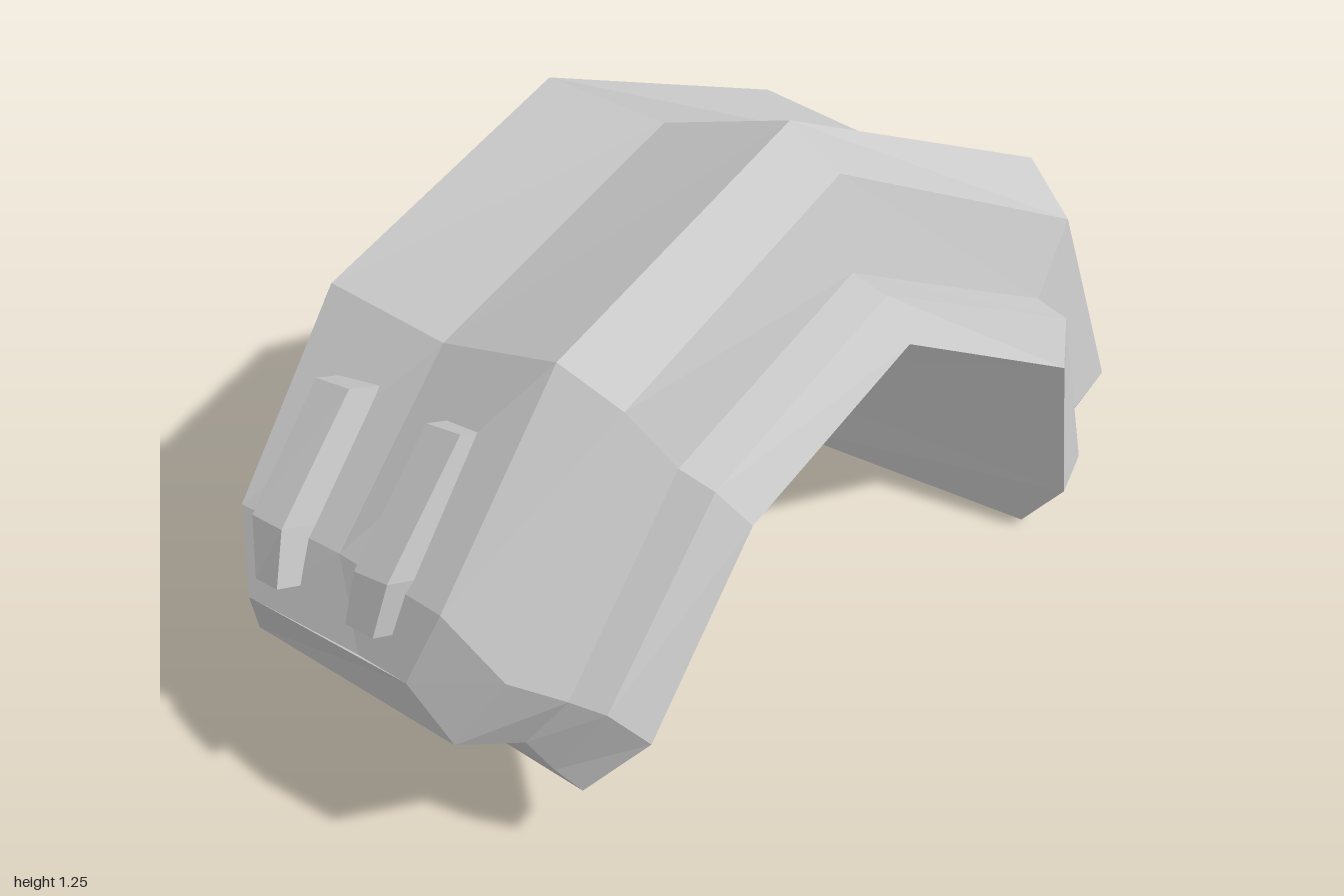
import * as THREE from 'three';

const material = new THREE.MeshStandardMaterial({ color: 0xcccccc, flatShading: true });

// Skin a list of rails (left to right); each rail holds one [x, y, z] per station.
function loft(name, rails, closed) {
  const pos = [];
  const n = rails.length;
  const last = rails[0].length - 1;
  const quad = (a, b, c, d) => pos.push(...a, ...b, ...c, ...a, ...c, ...d);

  for (let s = 0; s < last; s++) {
    for (let i = 0; i < (closed ? n : n - 1); i++) {
      const j = (i + 1) % n;
      quad(rails[i][s], rails[j][s], rails[j][s + 1], rails[i][s + 1]);
    }
  }
  // End caps, built as strips between opposite rails
  for (let i = 0; i < Math.floor((n - 1) / 2); i++) {
    const ids = [i, n - 1 - i, n - 2 - i, i + 1];
    const a = ids.map((k) => rails[k][0]);
    const b = ids.map((k) => rails[k][last]).reverse();
    if (ids[2] === ids[3]) {
      pos.push(...a[0], ...a[1], ...a[2], ...b[0], ...b[2], ...b[3]);
    } else {
      quad(...a);
      quad(...b);
    }
  }
  const geometry = new THREE.BufferGeometry();
  geometry.setAttribute('position', new THREE.Float32BufferAttribute(pos, 3));
  geometry.computeVertexNormals();
  const mesh = new THREE.Mesh(geometry, material);
  mesh.name = name;
  return mesh;
}

// Raised bar: outer left and right rails, sunk into the plate by an offset
function bar(name, left, right, offset) {
  const sink = (rail) => rail.map((p) => p.map((v, k) => v + offset[k]));
  return loft(name, [sink(left), left, right, sink(right)], true);
}

export function createModel() {
  const group = new THREE.Group();
  group.name = 'shoulderPlate';

  // Rails run over the arch: front hem, front knee, front, crown, back, back knee, back hem
  const edgeL = [[-0.3, 0.215, 0.77], [-0.48, 0.31, 0.69], [-0.52, 0.64, 0.42], [-0.49, 0.81, -0.045],
    [-0.49, 0.5, -0.56], [-0.45, 0.26, -0.66], [-0.33, 0.09, -0.68]];
  const bevelL = [[-0.395, 0.285, 0.915], [-0.52, 0.42, 0.82], [-0.57, 0.8, 0.5], [-0.55, 0.985, -0.06],
    [-0.52, 0.635, -0.68], [-0.455, 0.31, -0.82], [-0.355, 0.1, -0.85]];
  const topL = [[-0.365, 0.415, 0.955], [-0.45, 0.56, 0.875], [-0.48, 0.915, 0.555], [-0.455, 1.105, -0.08],
    [-0.41, 0.76, -0.775], [-0.36, 0.42, -0.905], [-0.31, 0.2, -0.91]];
  const middle = [[-0.03, 0.475, 0.975], [-0.14, 0.62, 0.9], [-0.15, 0.935, 0.575], [-0.14, 1.12, -0.08],
    [-0.07, 0.715, -0.82], [-0.02, 0.345, -0.94], [0, 0.17, -0.935]];
  const topR = [[0.115, 0.5, 0.99], [0.17, 0.67, 0.94], [0.18, 1.07, 0.61], [0.18, 1.255, -0.08],
    [0.26, 0.805, -0.865], [0.32, 0.36, -0.975], [0.28, 0.14, -0.96]];
  const bevelR = [[0.23, 0.405, 0.985], [0.32, 0.58, 0.93], [0.33, 1.02, 0.595], [0.32, 1.2, -0.06],
    [0.4, 0.73, -0.81], [0.46, 0.26, -0.935], [0.38, 0.065, -0.895]];
  const edgeR = [[0.27, 0.32, 0.835], [0.355, 0.455, 0.8], [0.37, 0.84, 0.49], [0.37, 0.995, -0.045],
    [0.43, 0.61, -0.665], [0.47, 0.22, -0.75], [0.4, 0.075, -0.725]];
  group.add(loft('outerPlate', [edgeL, bevelL, topL, middle, topR, bevelR, edgeR], false));

  // Inner liner, stepping out below the plate as a bevelled lip
  const lipL = [[-0.31, 0.15, 0.74], [-0.46, 0.26, 0.66], [-0.555, 0.61, 0.4], [-0.55, 0.77, -0.045],
    [-0.52, 0.48, -0.53], [-0.475, 0.2, -0.61], [-0.29, 0.04, -0.63]];
  const innerL = [[-0.26, 0.087, 0.7], [-0.43, 0.2, 0.61], [-0.55, 0.52, 0.355], [-0.55, 0.66, -0.045],
    [-0.51, 0.435, -0.465], [-0.44, 0.13, -0.52], [-0.24, 0, -0.545]];
  const lipR = [[0.325, 0.265, 0.815], [0.435, 0.455, 0.78], [0.455, 0.825, 0.485], [0.455, 0.98, -0.045],
    [0.51, 0.6, -0.655], [0.54, 0.185, -0.725], [0.45, 0.035, -0.715]];
  const innerR = [[0.365, 0.205, 0.78], [0.487, 0.36, 0.714], [0.51, 0.742, 0.44], [0.515, 0.89, -0.045],
    [0.555, 0.525, -0.59], [0.565, 0.155, -0.63], [0.46, 0.01, -0.635]];
  group.add(loft('liner', [innerL, lipL, edgeL, edgeR, lipR, innerR], true));

  // Raised bars on the front (bottom to top) and back (top to bottom)
  const frontSink = [0.016, -0.03, -0.08];
  const backSink = [-0.02, -0.02, 0.09];
  group.add(
    bar('frontBarRight',
      [[-0.31, 0.51, 0.975], [-0.345, 0.63, 0.935], [-0.37, 0.825, 0.715]],
      [[-0.237, 0.53, 0.985], [-0.25, 0.65, 0.945], [-0.265, 0.855, 0.725]], frontSink),
    bar('frontBarLeft',
      [[-0.04, 0.56, 0.99], [-0.04, 0.67, 0.955], [-0.04, 0.895, 0.74]],
      [[0.045, 0.58, 1], [0.06, 0.7, 0.965], [0.06, 0.925, 0.75]], frontSink),
    bar('backBarRight',
      [[-0.255, 0.59, -0.89], [-0.23, 0.4, -0.95], [-0.215, 0.25, -0.955]],
      [[-0.145, 0.59, -0.91], [-0.125, 0.4, -0.97], [-0.115, 0.24, -0.975]], backSink),
    bar('backBarLeft',
      [[0.08, 0.62, -0.93], [0.09, 0.4, -0.985], [0.095, 0.23, -0.985]],
      [[0.19, 0.63, -0.95], [0.185, 0.4, -0.998], [0.18, 0.22, -1]], backSink),
  );
  return group;
}
